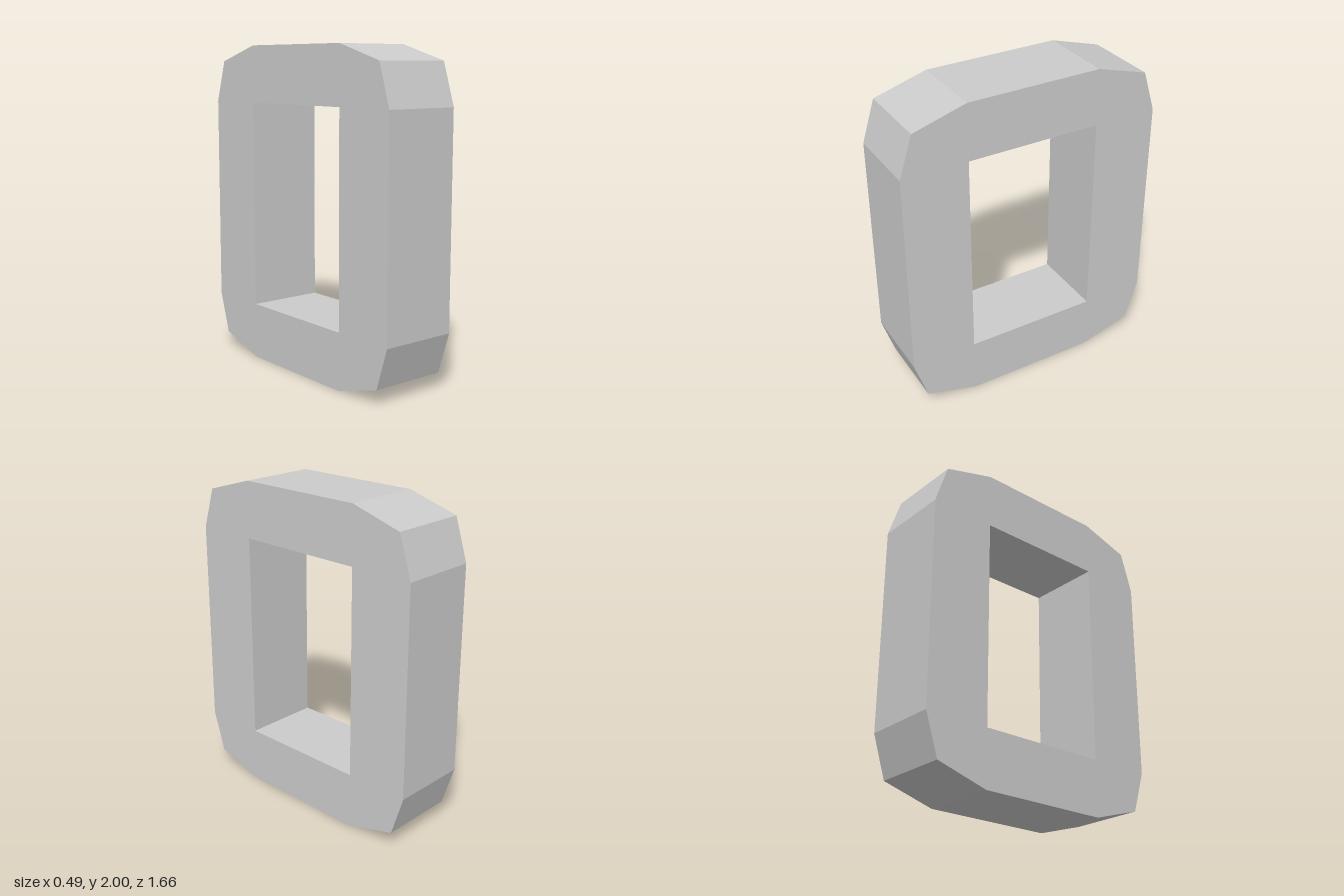
import * as THREE from 'three';

const DEPTH = 0.485;
// Upper corner of the outline, measured from the centre of the frame
const CORNER = [[0.83, 0.648], [0.748, 0.904], [0.42, 1]];

export function createModel() {
  const group = new THREE.Group();

  // Mirror the corner into all four quadrants, counter-clockwise
  const flip = (pts, sx, sy) => pts.map(([x, y]) => new THREE.Vector2(x * sx, y * sy));
  const reversed = [...CORNER].reverse();
  const outline = [
    ...flip(CORNER, 1, 1),
    ...flip(reversed, -1, 1),
    ...flip(CORNER, -1, -1),
    ...flip(reversed, 1, -1),
  ];

  // Rectangular opening through the middle
  const shape = new THREE.Shape(outline);
  const opening = [[-0.42, -0.648], [-0.42, 0.648], [0.42, 0.648], [0.42, -0.648]];
  shape.holes.push(new THREE.Path(opening.map(([x, y]) => new THREE.Vector2(x, y))));

  // Extrude, centre, then turn the opening to face sideways
  const geometry = new THREE.ExtrudeGeometry(shape, { depth: DEPTH, bevelEnabled: false });
  geometry.translate(0, 0, -DEPTH / 2);
  geometry.rotateY(Math.PI / 2);
  geometry.translate(0, 1, 0);

  const frame = new THREE.Mesh(
    geometry,
    new THREE.MeshStandardMaterial({ color: 0xcccccc, flatShading: true })
  );
  frame.name = 'chamferedFrame';
  group.add(frame);
  return group;
}
